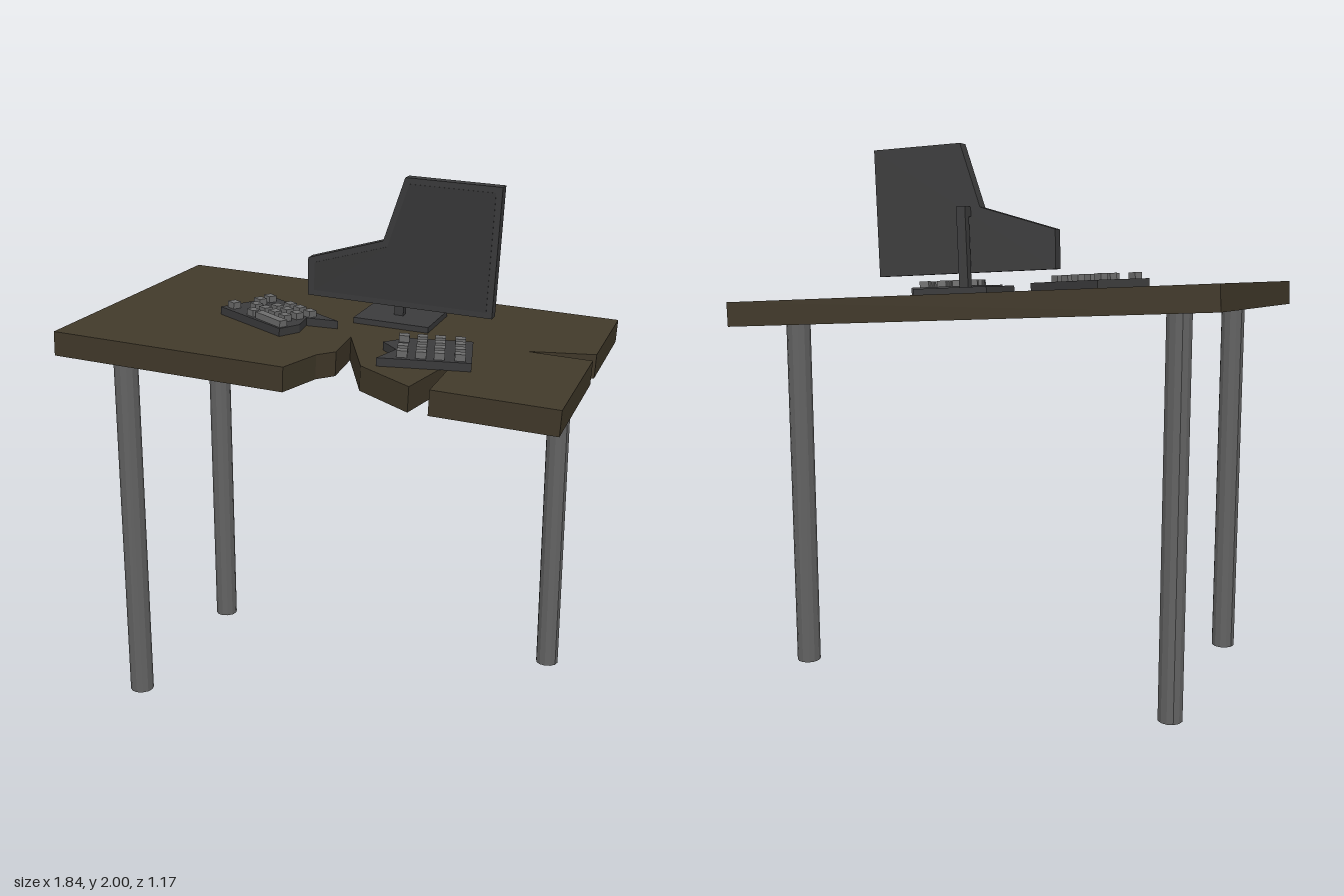
import * as THREE from 'three';

const mat = (name, color) => {
  const m = new THREE.MeshStandardMaterial({ color });
  m.name = name;
  return m;
};

export function createModel() {
  const wood = mat('dark wood', 0x41392a);
  const metal = mat('leg metal', 0x626262);
  const casing = mat('dark casing', 0x3b3b3c);
  const glass = mat('screen', 0x373738);
  const keyGrey = mat('key grey', 0x6c6c6c);

  const model = new THREE.Group();
  model.name = 'brokenDesk';

  const add = (parent, name, geometry, material, x = 0, y = 0, z = 0) => {
    const mesh = new THREE.Mesh(geometry, material);
    mesh.name = name;
    mesh.position.set(x, y, z);
    parent.add(mesh);
    return mesh;
  };
  const extrude = (points, depth) => new THREE.ExtrudeGeometry(
    new THREE.Shape(points.map(([x, y]) => new THREE.Vector2(x, y))),
    { depth, bevelEnabled: false });
  // Horizontal slab from an (x, z) outline, rising from y = 0
  const slab = (points, height) =>
    extrude(points.map(([x, z]) => [x, -z]), height).rotateX(-Math.PI / 2);

  // Three upright legs; the front left one is missing
  const flatLegs = metal;
  flatLegs.flatShading = true;
  for (const [x, z, top] of [[-0.74, 0.395, 1.40], [-0.74, -0.39, 1.45], [0.735, -0.39, 1.345]]) {
    add(model, 'leg', new THREE.CylinderGeometry(0.045, 0.045, top, 12), flatLegs, x, top / 2, z);
  }

  // Everything on the sagging top shares its tilt; local y = 0 is the top surface
  const top = new THREE.Group();
  top.name = 'tiltedTop';
  top.position.y = 1.447;
  top.rotation.set(0.07, 0, -0.07);
  model.add(top);

  // Cracked tabletop
  add(top, 'tabletop', slab([
    [-0.92, -0.58], [0.92, -0.58], [0.92, -0.07], [0.68, 0.01], [0.92, 0.01], [0.92, 0.58],
    [0.485, 0.58], [0.48, 0.22], [0.415, 0.58], [0.2, 0.445], [0.055, 0.14], [0.07, 0.335],
    [0.02, 0.4], [-0.03, 0.58], [-0.92, 0.58],
  ], 0.09), wood, 0, -0.09, 0);

  // Broken monitor with stand
  const monitor = new THREE.Group();
  monitor.name = 'monitor';
  top.add(monitor);
  add(monitor, 'monitorCase', extrude([
    [-0.205, 0.075], [0.523, 0.075], [0.523, 0.558], [0.16, 0.558], [0.088, 0.317], [-0.208, 0.22],
  ], 0.05), casing, 0, 0, -0.13);
  add(monitor, 'screen', extrude([
    [-0.18, 0.097], [0.5, 0.097], [0.5, 0.536], [0.178, 0.536], [0.106, 0.297], [-0.18, 0.205],
  ], 0.003), glass, 0, 0, -0.081);
  add(monitor, 'monitorBase', new THREE.BoxGeometry(0.295, 0.022, 0.26), casing, 0.147, 0.011, -0.17);
  add(monitor, 'monitorPole', new THREE.BoxGeometry(0.036, 0.3, 0.033), casing, 0.144, 0.17, -0.165);
  add(monitor, 'monitorBracket', new THREE.BoxGeometry(0.036, 0.036, 0.03), casing, 0.144, 0.302, -0.14);

  // Keyboard halves: outline in top coordinates, keys as [u, v, width] in a rotated frame
  const keyboardHalf = (name, outline, origin, turn, keys) => {
    const half = new THREE.Group();
    half.name = name;
    top.add(half);
    add(half, 'keyboardPlate', slab(outline, 0.03), casing);
    const frame = new THREE.Group();
    frame.name = 'keys';
    frame.position.set(origin[0], 0.03, origin[1]);
    frame.rotation.y = turn;
    half.add(frame);
    for (const [u, v, w = 0.037] of keys) {
      add(frame, 'key', new THREE.BoxGeometry(w, 0.024, 0.034), keyGrey, u, 0.012, v);
    }
  };

  keyboardHalf('rightKeyboardHalf', [
    [-0.365, -0.133], [-0.025, 0.065], [-0.145, 0.08], [-0.135, 0.175], [-0.18, 0.258], [-0.493, 0.09],
  ], [-0.365, -0.133], -Math.PI / 6, [
    [0.036, 0.05], [0.165, 0.05], [0.225, 0.05], [0.285, 0.05],
    [0.05, 0.107], [0.16, 0.107], [0.22, 0.107], [0.28, 0.107],
    [0.1, 0.163], [0.16, 0.163], [0.22, 0.163], [0.28, 0.163],
    [0.038, 0.22], [0.164, 0.222], [0.272, 0.221, 0.15],
  ]);

  const grid = [];
  for (const v of [0.044, 0.105, 0.165, 0.226]) {
    for (const u of [-0.047, -0.118, -0.181, -0.246]) {
      if (v !== 0.105 || u !== -0.246) grid.push([u, v]);
    }
  }
  keyboardHalf('leftKeyboardHalf', [
    [0.275, 0.148], [0.5, 0.084], [0.56, 0.335], [0.248, 0.424], [0.278, 0.3], [0.21, 0.236],
  ], [0.5, 0.084], Math.PI / 12, grid);

  return model;
}
